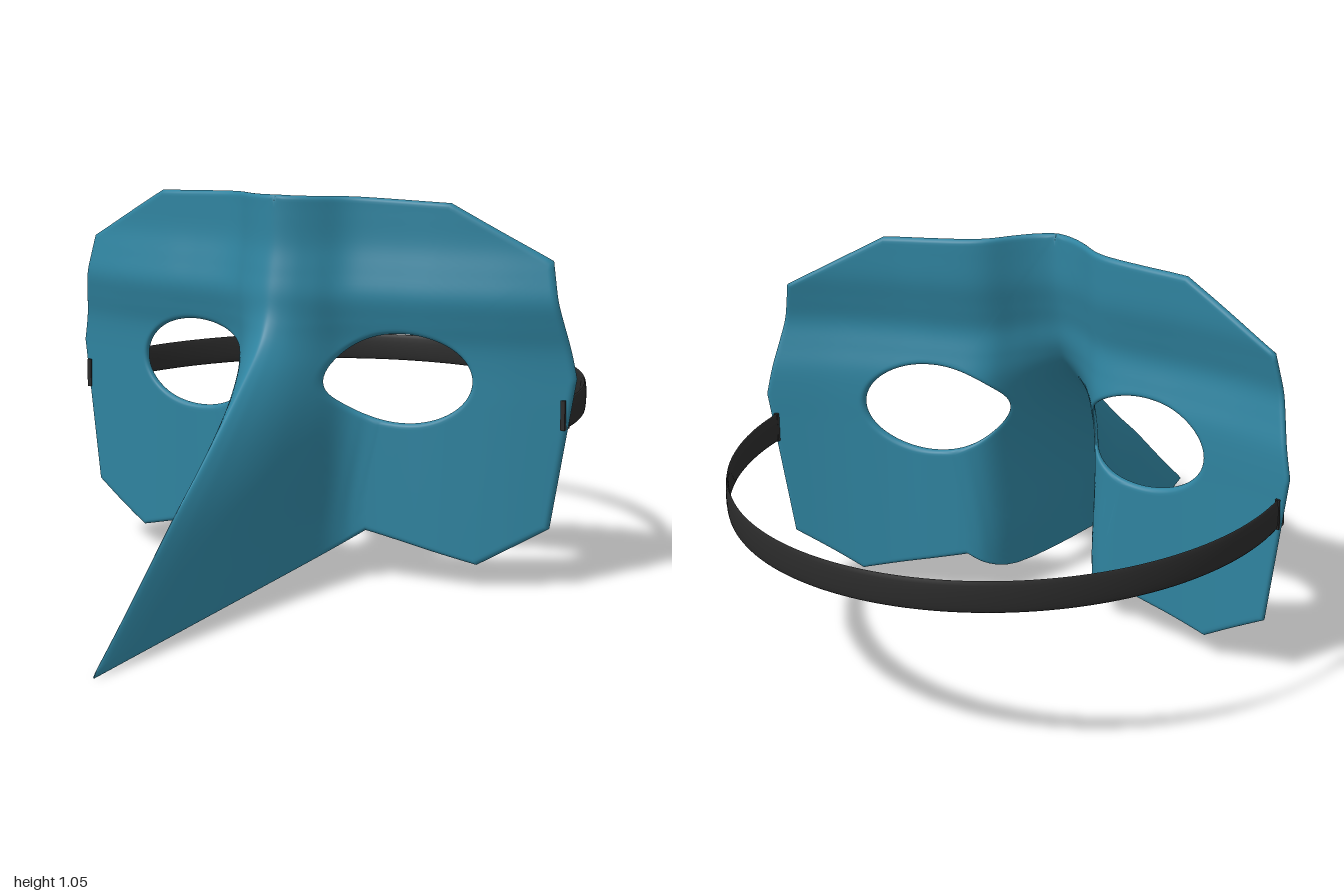
import * as THREE from 'three';
import { mergeVertices } from 'three/addons/utils/BufferGeometryUtils.js';

// Smooth one-dimensional interpolation through [x, value] points
function smoothCurve(p) {
  const slope = (i) => {
    const a = p[Math.max(i - 1, 0)], b = p[Math.min(i + 1, p.length - 1)];
    return (b[1] - a[1]) / (b[0] - a[0]);
  };
  return (x) => {
    if (x <= p[0][0]) return p[0][1];
    if (x >= p[p.length - 1][0]) return p[p.length - 1][1];
    let i = 0;
    while (x > p[i + 1][0]) i++;
    const h = p[i + 1][0] - p[i][0], t = (x - p[i][0]) / h, t2 = t * t, t3 = t2 * t;
    return (2 * t3 - 3 * t2 + 1) * p[i][1] + (t3 - 2 * t2 + t) * h * slope(i)
      + (3 * t2 - 2 * t3) * p[i + 1][1] + (t3 - t2) * h * slope(i + 1);
  };
}

// Face curvature across the width, brow swelling, beak ridge and beak section
const face = smoothCurve([[-0.05, 0.045], [0, 0.06], [0.05, 0.045], [0.1, 0.01], [0.15, -0.035],
  [0.2, -0.058], [0.3, -0.078], [0.4, -0.093], [0.5, -0.115], [0.6, -0.143], [0.75, -0.198]]);
const brow = smoothCurve([[0.5, 0], [0.6, 0], [0.66, 0.004], [0.72, 0.018], [0.785, 0.03],
  [0.85, 0.018], [0.92, 0.003], [1, 0], [1.05, 0]]);
const ridge = smoothCurve([[0.005, 0.94], [0.1, 0.81], [0.2, 0.68], [0.3, 0.55], [0.4, 0.41],
  [0.5, 0.28], [0.6, 0.155], [0.65, 0.095], [0.7, 0.045], [0.76, 0.008], [0.82, 0], [1.05, 0]]);
const beakSection = smoothCurve([[-0.015, 0.91], [0, 1], [0.015, 0.91], [0.03, 0.78], [0.06, 0.52],
  [0.09, 0.26], [0.12, 0.08], [0.16, 0.015], [0.2, 0]]);

function depth(x, y) {
  const widen = 1 + 0.3 * THREE.MathUtils.smoothstep(y, 0.15, 0.55);
  return face(x) + brow(y) + ridge(y) * beakSection(x / widen);
}

// Half outline, counter-clockwise; the last edge is the centre seam
const OUTLINE = [[0, 0.005], [0.21, 0.145], [0.51, 0.07], [0.69, 0.175], [0.75, 0.58],
  [0.69, 0.89], [0.43, 1.035], [0, 1.053]];
const EYE = { x: 0.308, y: 0.565, rx: 0.184, ry: 0.121 };
const THICKNESS = 0.026, ROUNDING = 0.012, RINGS = 36, STEP = 0.016;

// Rings from the eye hole out to the outline, for both sides and both halves
function maskGeometry() {
  const border = [];
  OUTLINE.forEach((a, k) => {
    const b = OUTLINE[(k + 1) % OUTLINE.length];
    const n = Math.ceil(Math.hypot(b[0] - a[0], b[1] - a[1]) / STEP);
    for (let i = 0; i < n; i++) {
      border.push({
        x: a[0] + (b[0] - a[0]) * i / n, y: a[1] + (b[1] - a[1]) * i / n,
        seam: k === OUTLINE.length - 1 && i > 0,
      });
    }
  });

  const positions = [], indices = [], n = border.length;
  for (const mirror of [1, -1]) {
    for (const side of [1, -1]) {
      const start = positions.length / 3;
      for (const p of border) {
        const phi = Math.atan2((p.y - EYE.y) / EYE.ry, (p.x - EYE.x) / EYE.rx);
        const ex = EYE.x + EYE.rx * Math.cos(phi), ey = EYE.y + EYE.ry * Math.sin(phi);
        const length = Math.hypot(p.x - ex, p.y - ey);
        for (let i = 0; i <= RINGS; i++) {
          const t = 0.5 - 0.5 * Math.cos(Math.PI * i / RINGS);
          const x = ex + (p.x - ex) * t, y = ey + (p.y - ey) * t;
          // Thickness rounds off to nothing at the rims, not at the seam
          const d = p.seam ? t * length : Math.min(t, 1 - t) * length;
          const s = Math.sqrt(1 - (1 - Math.min(d / ROUNDING, 1)) ** 2);
          positions.push(mirror * x, y, depth(x, y) + side * s * THICKNESS / 2);
        }
      }
      for (let j = 0; j < n; j++) {
        for (let i = 0; i < RINGS; i++) {
          const a = start + j * (RINGS + 1) + i, d = start + ((j + 1) % n) * (RINGS + 1) + i;
          if (mirror * side > 0) indices.push(a, a + 1, d + 1, a, d + 1, d);
          else indices.push(a, d + 1, a + 1, a, d, d + 1);
        }
      }
    }
  }
  let geometry = new THREE.BufferGeometry();
  geometry.setAttribute('position', new THREE.Float32BufferAttribute(positions, 3));
  geometry.setIndex(indices);
  geometry = mergeVertices(geometry, 1e-5);
  geometry.computeVertexNormals();
  return geometry;
}

export function createModel() {
  const teal = new THREE.MeshStandardMaterial({ color: 0x2f839f });
  teal.name = 'teal';
  const black = new THREE.MeshStandardMaterial({ color: 0x2b2b2b });
  black.name = 'black';
  const model = new THREE.Group();
  model.name = 'beakedMask';
  const add = (name, geometry, material) => {
    const mesh = new THREE.Mesh(geometry, material);
    mesh.name = name;
    model.add(mesh);
    return mesh;
  };

  // Face shell with eye holes and pointed beak
  add('maskShell', maskGeometry(), teal);

  // Flat head strap: half a ring stretched into a band
  const band = new THREE.TorusGeometry(0.722, 0.005, 16, 96, Math.PI);
  band.rotateX(-Math.PI / 2);
  band.scale(1, 8, 0.795 / 0.727);
  band.translate(0, 0.485, -0.205);
  add('headStrap', band, black);

  // Strap ends passing through the sides of the mask
  for (const side of [1, -1]) {
    add(side > 0 ? 'leftStrapEnd' : 'rightStrapEnd', new THREE.BoxGeometry(0.012, 0.08, 0.04), black)
      .position.set(side * 0.723, 0.485, -0.188);
  }
  return model;
}
